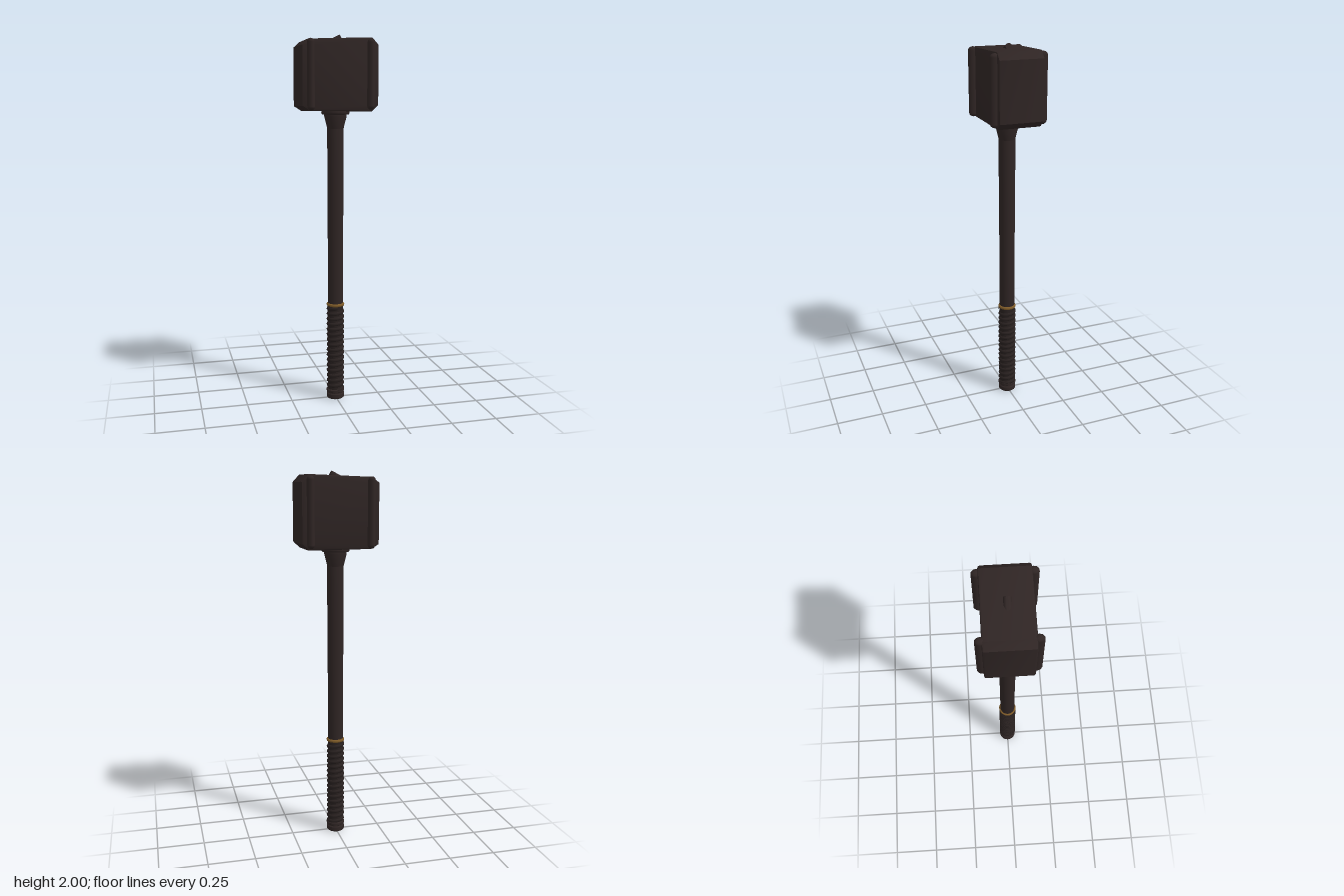
import * as THREE from 'three';
import { toCreasedNormals } from 'three/addons/utils/BufferGeometryUtils.js';

const mat = (name, color) => {
  const m = new THREE.MeshStandardMaterial({ color });
  m.name = name;
  return m;
};

// Curve that winds upward round the grip
class WrapCurve extends THREE.Curve {
  constructor(radius, y0, y1, turns) {
    super();
    Object.assign(this, { radius, y0, y1, turns });
  }
  getPoint(t, target = new THREE.Vector3()) {
    const a = t * this.turns * Math.PI * 2;
    return target.set(Math.sin(a) * this.radius, this.y0 + (this.y1 - this.y0) * t, Math.cos(a) * this.radius);
  }
}

export function createModel() {
  const group = new THREE.Group();
  const iron = mat('dark brown iron', 0x2f2524);
  const leather = mat('dark leather', 0x292120);
  const gold = mat('aged gold', 0x7d5a28);

  const add = (name, geometry, material, x = 0, y = 0, z = 0) => {
    const mesh = new THREE.Mesh(geometry, material);
    mesh.name = name;
    mesh.position.set(x, y, z);
    group.add(mesh);
    return mesh;
  };
  const lathe = (pts, sides = 20) =>
    toCreasedNormals(new THREE.LatheGeometry(pts.map(([r, y]) => new THREE.Vector2(r, y)), sides), 0.6);

  // Head: chamfered block, its top rising slightly to one side
  const bevel = 0.01;
  const outline = [
    [-0.165, 1.605], [0.17, 1.603], [0.205, 1.635], [0.205, 1.945],
    [0.17, 1.983], [-0.17, 1.97], [-0.205, 1.94], [-0.205, 1.63],
  ];
  const shape = new THREE.Shape(outline.map(([x, y]) => new THREE.Vector2(x, y)));
  const head = new THREE.ExtrudeGeometry(shape, {
    depth: 0.22, bevelEnabled: true, bevelThickness: bevel, bevelSize: bevel, bevelOffset: -bevel, bevelSegments: 2,
  });
  head.translate(0, 0, -0.11);
  add('hammerHead', toCreasedNormals(head, 0.5), iron);

  // Rounded upright ribs near the head's four corners
  for (const x of [-0.16, 0.16]) {
    for (const side of [-1, 1]) {
      const rib = add('headRib', new THREE.CapsuleGeometry(0.02, 0.325, 3, 10), iron, x, x < 0 ? 1.79 : 1.794, side * 0.126);
      rib.scale.z = 1.3;
    }
  }

  // Slanted peg on top of the head
  const peg = add('topPeg', toCreasedNormals(new THREE.CylinderGeometry(0.018, 0.019, 0.09, 14), 0.6), iron, -0.012, 1.966, 0);
  peg.rotation.z = -1.1;

  // Collar under the head
  add('collar', lathe([
    [0.044, 1.51], [0.046, 1.52], [0.06, 1.575], [0.06, 1.585], [0.072, 1.587], [0.076, 1.595], [0.074, 1.61], [0, 1.612],
  ]), iron);

  // Shaft
  add('shaft', lathe([[0.042, 0.53], [0.042, 0.9], [0.044, 1.15], [0.044, 1.53]]), iron);

  // Gold ring above the grip
  const ring = add('goldRing', new THREE.TorusGeometry(0.041, 0.009, 8, 28), gold, 0, 0.541, 0);
  ring.rotation.x = Math.PI / 2;

  // Grip core and its spiral wrap
  add('gripCore', new THREE.CylinderGeometry(0.043, 0.043, 0.5, 20), leather, 0, 0.285, 0);
  add('gripWrap', new THREE.TubeGeometry(new WrapCurve(0.038, 0.05, 0.525, 16), 480, 0.0115, 7), leather);

  // Pommel
  add('pommel', lathe([
    [0, 0], [0.044, 0], [0.049, 0.005], [0.049, 0.026], [0.045, 0.031], [0.045, 0.036],
    [0.05, 0.04], [0.05, 0.05], [0.04, 0.056],
  ]), iron);

  return group;
}
